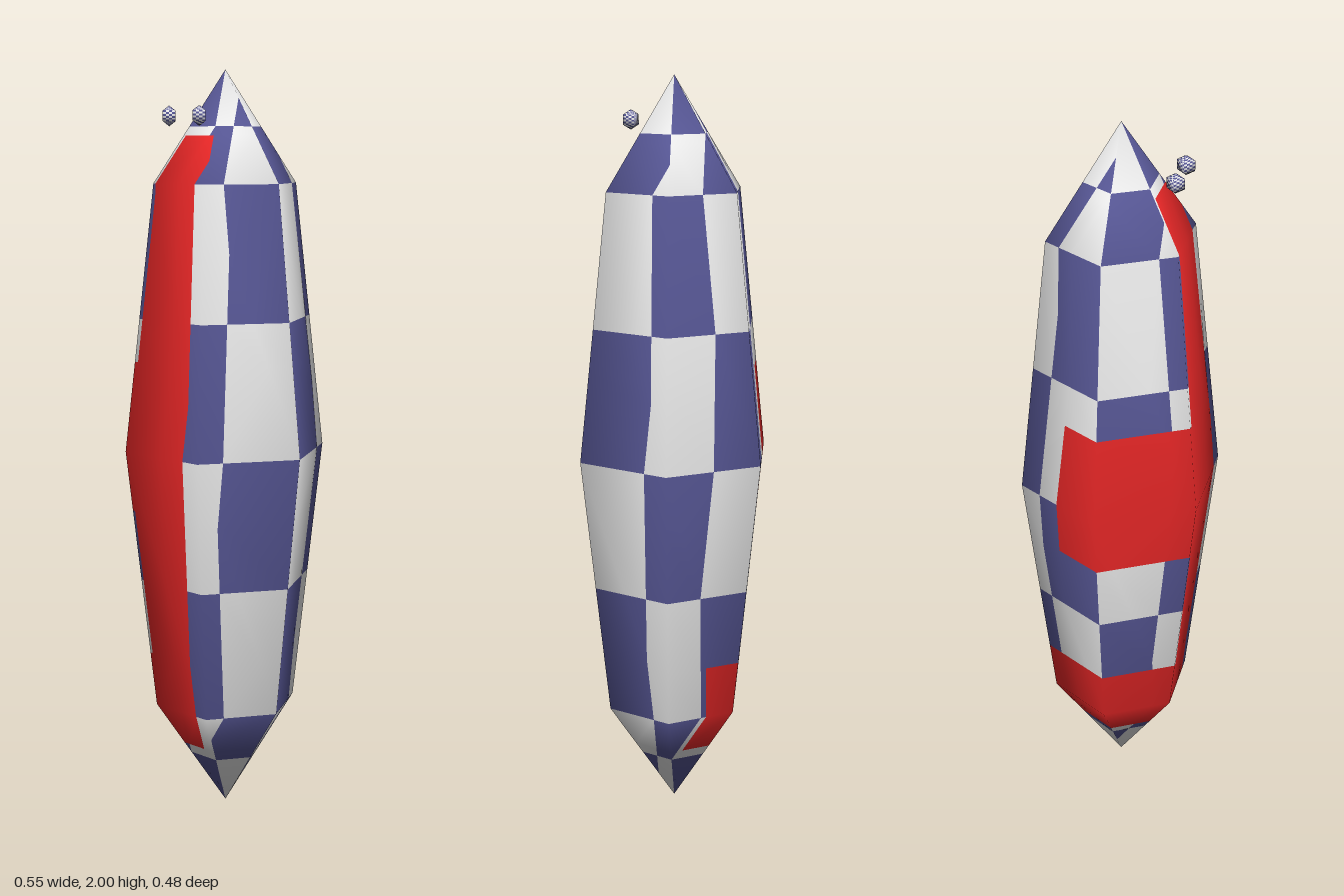
import * as THREE from 'three';

const white = new THREE.MeshStandardMaterial({ color: 0xf4f4f4 });
white.name = 'white';
const blue = new THREE.MeshStandardMaterial({ color: 0x555592 });
blue.name = 'slate blue';
const red = new THREE.MeshStandardMaterial({ color: 0xe42626 });
red.name = 'red';

// Red patch on the unrolled body, as [u0, u1, v0, v1]: a column with two arms that wrap round u = 0
const PATCH = [
  [0.174, 0.3, 0.15, 0.855],
  [0, 0.174, 0.443, 0.585], [0.914, 1, 0.443, 0.585],
  [0, 0.174, 0.15, 0.302], [0.763, 1, 0.15, 0.302],
];

// Corner of a faceted ellipsoid: [u, v, position, normal]
function corner(u, v, rx, ry) {
  const phi = u * Math.PI * 2, theta = (1 - v) * Math.PI;
  const dir = new THREE.Vector3(
    -Math.cos(phi) * Math.sin(theta), Math.cos(theta), Math.sin(phi) * Math.sin(theta));
  const n = new THREE.Vector3(dir.x / rx, dir.y / ry, dir.z / rx).normalize();
  return [u, v, dir.x * rx, dir.y * ry, dir.z * rx, n.x, n.y, n.z];
}

// Keep the part of a polygon where sign * (p[axis] - limit) >= 0
function clip(poly, axis, limit, sign) {
  const out = [];
  poly.forEach((p, i) => {
    const q = poly[(i + 1) % poly.length];
    const dp = sign * (p[axis] - limit), dq = sign * (q[axis] - limit);
    if (dp >= 0) out.push(p);
    if ((dp > 0 && dq < 0) || (dp < 0 && dq > 0)) {
      const t = dp / (dp - dq);
      out.push(p.map((a, k) => a + (q[k] - a) * t));
    }
  });
  return out;
}

// Cut positions between the checks, plus the patch edges
function cuts(checks, extra) {
  const all = Array.from({ length: checks + 1 }, (_, i) => i / checks).concat(extra);
  return [...new Set(all)].sort((a, b) => a - b);
}

// Faceted ellipsoid whose faces are split along the checks, one mesh per colour
function checkedEllipsoid(name, rx, ry, sides, rows, checks, patch) {
  const triangles = [];
  for (let j = 0; j < rows; j++) {
    for (let i = 0; i < sides; i++) {
      const at = (di, dj) => corner((i + di) / sides, 1 - (j + dj) / rows, rx, ry);
      const a = at(1, 0), b = at(0, 0), c = at(0, 1), d = at(1, 1);
      if (j > 0) triangles.push([a, b, d]);
      if (j < rows - 1) triangles.push([b, c, d]);
    }
  }

  const uCuts = cuts(checks, patch.flatMap((r) => [r[0], r[1]]));
  const vCuts = cuts(checks, patch.flatMap((r) => [r[2], r[3]]));
  const colourAt = (u, v) => {
    if (patch.some((r) => u > r[0] && u < r[1] && v > r[2] && v < r[3])) return red;
    return (Math.floor(u * checks) + Math.floor(v * checks)) % 2 ? white : blue;
  };

  const parts = new Map();
  for (const tri of triangles) {
    for (let i = 0; i < uCuts.length - 1; i++) {
      const strip = clip(clip(tri, 0, uCuts[i], 1), 0, uCuts[i + 1], -1);
      if (strip.length < 3) continue;
      for (let j = 0; j < vCuts.length - 1; j++) {
        const cell = clip(clip(strip, 1, vCuts[j], 1), 1, vCuts[j + 1], -1);
        if (cell.length < 3) continue;
        const mat = colourAt((uCuts[i] + uCuts[i + 1]) / 2, (vCuts[j] + vCuts[j + 1]) / 2);
        if (!parts.has(mat)) parts.set(mat, { pos: [], nor: [] });
        const part = parts.get(mat);
        for (let k = 1; k < cell.length - 1; k++) {
          for (const p of [cell[0], cell[k], cell[k + 1]]) {
            part.pos.push(...p.slice(2, 5));
            part.nor.push(...p.slice(5, 8));
          }
        }
      }
    }
  }

  const group = new THREE.Group();
  group.name = name;
  for (const [mat, { pos, nor }] of parts) {
    const geo = new THREE.BufferGeometry();
    geo.setAttribute('position', new THREE.Float32BufferAttribute(pos, 3));
    geo.setAttribute('normal', new THREE.Float32BufferAttribute(nor, 3));
    geo.normalizeNormals();
    const mesh = new THREE.Mesh(geo, mat);
    mesh.name = mat === red ? 'redPatch' : mat === blue ? 'blueChecks' : 'whiteChecks';
    group.add(mesh);
  }
  return group;
}

export function createModel() {
  const model = new THREE.Group();
  model.name = 'checkedSpindle';

  // Six-sided spindle body
  const body = checkedEllipsoid('body', 0.275, 1, 6, 4, 8, PATCH);
  body.position.y = 1;
  model.add(body);

  // Two small eyes floating before the tip
  for (const side of [1, -1]) {
    const eye = checkedEllipsoid(side > 0 ? 'leftEye' : 'rightEye', 0.0265, 0.0265, 4, 3, 16, []);
    eye.position.set(side * 0.056, 1.88, 0.149);
    model.add(eye);
  }
  return model;
}
